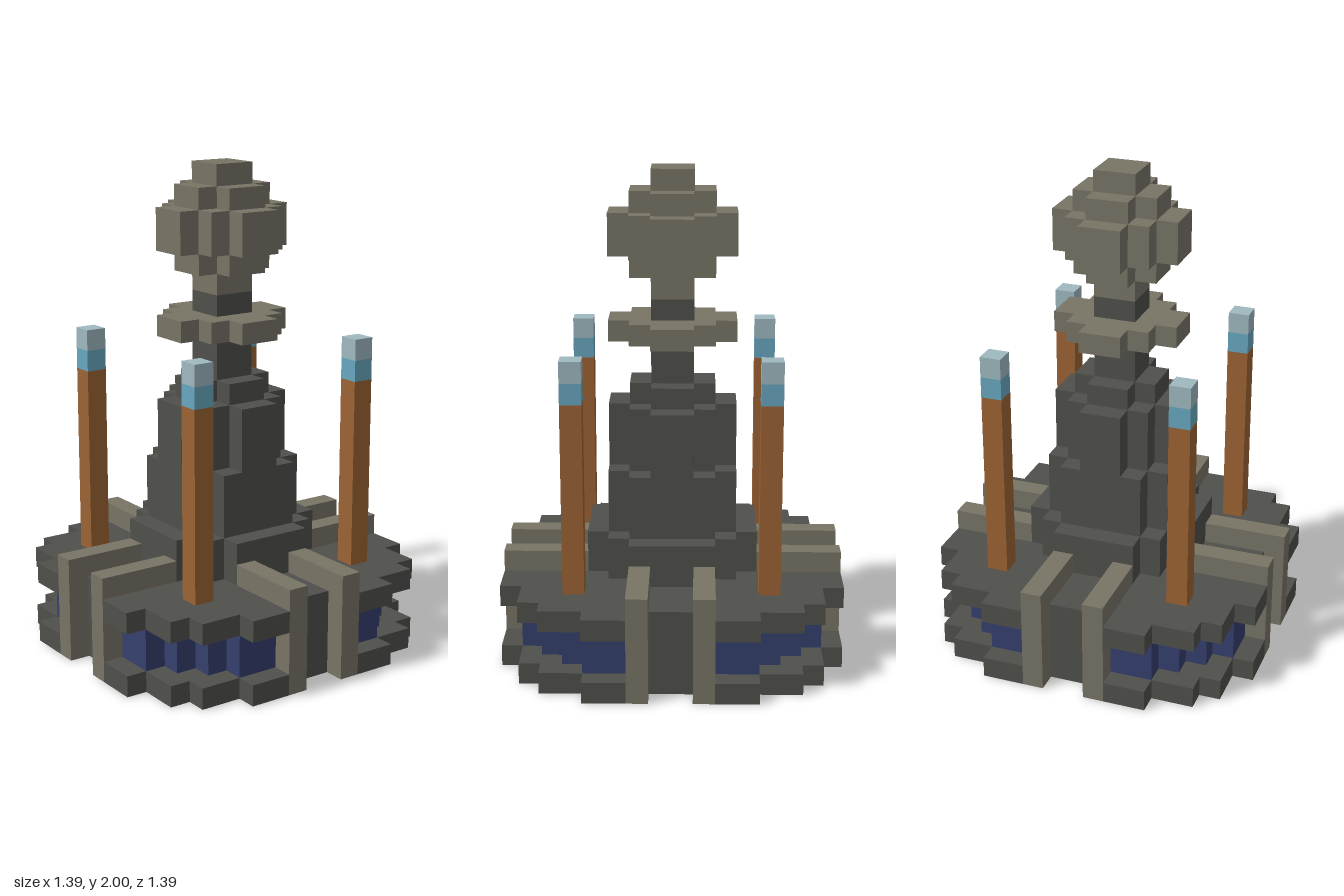
import * as THREE from 'three';

const U = 2 / 23; // one block

const paint = (name, color) => {
  const m = new THREE.MeshStandardMaterial({ color });
  m.name = name;
  return m;
};

export function createModel() {
  const dark = paint('dark stone', 0x4f504b);
  const olive = paint('olive stone', 0x787566);
  const navy = paint('navy glass', 0x35406e);
  const copper = paint('copper', 0x9c6334);
  const cyan = paint('cyan glow', 0x68a8c0);
  const pale = paint('pale tip', 0x9fb9c0);

  const model = new THREE.Group();
  model.name = 'tower';

  // Stepped slab: the corners of one quadrant are repeated by quarter turns
  function slab(name, quadrant, y0, y1, material) {
    const points = [];
    for (let turn = 0; turn < 4; turn++) {
      for (let [x, y] of quadrant) {
        for (let i = 0; i < turn; i++) [x, y] = [-y, x];
        points.push(new THREE.Vector2(x * U, y * U));
      }
    }
    const geometry = new THREE.ExtrudeGeometry(new THREE.Shape(points), {
      depth: (y1 - y0) * U, bevelEnabled: false,
    });
    geometry.rotateX(-Math.PI / 2);
    const mesh = new THREE.Mesh(geometry, material);
    mesh.name = name;
    mesh.position.y = y0 * U;
    model.add(mesh);
  }

  // Box between two corners, in blocks
  function box(name, [x0, y0, z0], [x1, y1, z1], material, parent = model) {
    const mesh = new THREE.Mesh(
      new THREE.BoxGeometry((x1 - x0) * U, (y1 - y0) * U, (z1 - z0) * U), material);
    mesh.position.set((x0 + x1) / 2 * U, (y0 + y1) / 2 * U, (z0 + z1) / 2 * U);
    mesh.name = name;
    parent.add(mesh);
  }

  // Outlines, one quadrant each
  const disc = [[7, 1], [4, 1], [4, 2], [8, 2], [8, 4], [7, 4], [7, 6], [6, 6], [6, 7],
    [4, 7], [4, 8], [2, 8], [2, 4], [1, 4], [1, 7]];
  const windowRing = [[7, 2], [7, 4], [6, 4], [6, 5], [5, 5], [5, 6], [4, 6], [4, 7], [2, 7], [2, 2]];
  const wide = [[4, 2], [3, 2], [3, 3], [2, 3], [2, 4]];
  const octagon = [[3, 2], [2, 2], [2, 3]];
  const star = [[3, 1], [2, 1], [2, 2], [1, 2], [1, 3]];
  const plus = [[2, 1], [1, 1], [1, 2]];
  const square = [[1, 1]];

  // Base drum with recessed windows
  slab('lowerDisc', disc, 0, 1, dark);
  slab('windows', windowRing, 1, 3, navy);
  slab('upperDisc', disc, 3, 4, dark);
  box('crossWallX', [-7, 1, -1], [7, 3, 1], dark);
  box('crossWallZ', [-1, 1, -7], [1, 3, 7], dark);

  // Paired ribs on all four sides
  for (let side = 0; side < 4; side++) {
    const ribs = new THREE.Group();
    ribs.name = 'ribPair';
    ribs.rotation.y = side * Math.PI / 2;
    box('rib', [1, 0, 4], [2, 5, 8], olive, ribs);
    box('rib', [-2, 0, 4], [-1, 5, 8], olive, ribs);
    model.add(ribs);
  }

  // Tapering tower
  slab('towerFoot', wide, 4, 6, dark);
  slab('towerLower', octagon, 6, 9, dark);
  slab('towerUpper', star, 9, 12, dark);
  slab('towerShoulder', plus, 12, 13, dark);

  // Neck, collar and ball
  slab('neck', square, 13, 15, dark);
  slab('collar', star, 15, 16, olive);
  slab('upperNeck', square, 16, 17, dark);
  slab('ballStem', square, 17, 18, olive);
  slab('ballBottom', plus, 18, 19, olive);
  slab('ballMiddle', star, 19, 21, olive);
  slab('ballTop', plus, 21, 22, olive);
  slab('ballCap', square, 22, 23, olive);

  // Four rods with glowing tips
  for (const x of [-5, 4]) {
    for (const z of [-5, 4]) {
      const rod = new THREE.Group();
      rod.name = 'rod';
      box('rodShaft', [x, 4, z], [x + 1, 13, z + 1], copper, rod);
      box('rodGlow', [x, 13, z], [x + 1, 14, z + 1], cyan, rod);
      box('rodTip', [x, 14, z], [x + 1, 15, z + 1], pale, rod);
      model.add(rod);
    }
  }

  return model;
}
